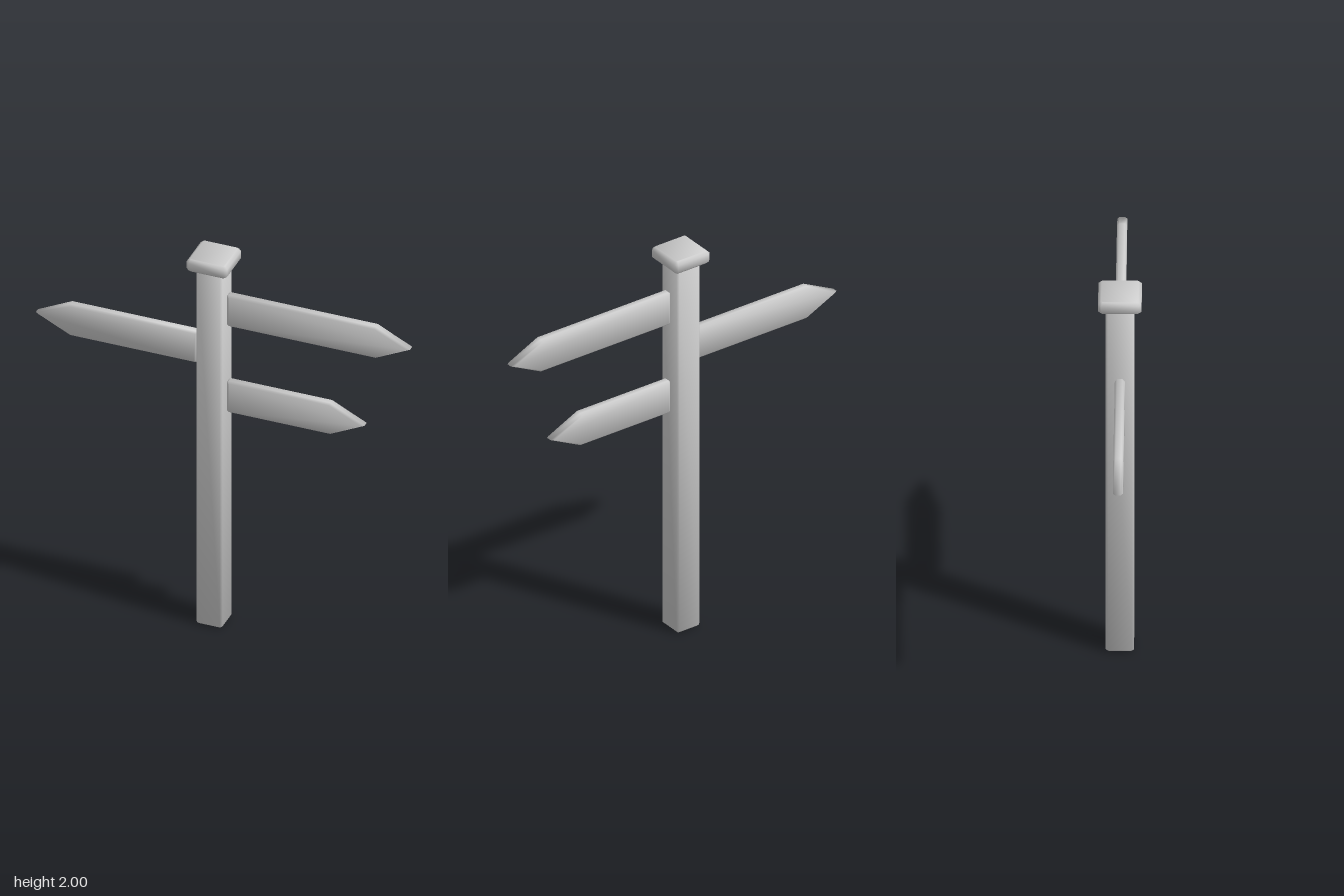
import * as THREE from 'three';

const material = new THREE.MeshStandardMaterial({ color: 0xcccccc });

// Smooth normals across every edge, each face weighted by its corner angle
function softNormals(geometry) {
  const g = geometry.index ? geometry.toNonIndexed() : geometry;
  const pos = g.attributes.position, sums = new Map(), keys = [];
  const at = (i) => new THREE.Vector3().fromBufferAttribute(pos, i);
  for (let i = 0; i < pos.count; i += 3) {
    const p = [at(i), at(i + 1), at(i + 2)];
    const n = new THREE.Triangle(...p).getNormal(new THREE.Vector3());
    p.forEach((v, k) => {
      const a = p[(k + 1) % 3].clone().sub(v), b = p[(k + 2) % 3].clone().sub(v);
      const key = v.toArray().map((c) => Math.round(c * 1e4)).join();
      if (!sums.has(key)) sums.set(key, new THREE.Vector3());
      sums.get(key).addScaledVector(n, a.angleTo(b));
      keys.push(key);
    });
  }
  const normals = keys.flatMap((key) => sums.get(key).clone().normalize().toArray());
  g.setAttribute('normal', new THREE.Float32BufferAttribute(normals, 3));
  return g;
}

// Outline extruded to a thickness, centred on z = 0, with one chamfer all round
function slab(points, thickness, bevel) {
  const shape = new THREE.Shape(points.map(([x, y]) => new THREE.Vector2(x, y)));
  const g = new THREE.ExtrudeGeometry(shape, {
    depth: thickness - 2 * bevel, bevelThickness: bevel, bevelSize: bevel,
    bevelOffset: -bevel, bevelSegments: 1,
  });
  return g.translate(0, 0, bevel - thickness / 2);
}

// Square block standing upright, all edges chamfered
function block(name, size, y0, y1, c) {
  const h = size / 2, k = h - c;
  const outline = [[k, -h], [h, -k], [h, k], [k, h], [-k, h], [-h, k], [-h, -k], [-k, -h]];
  const g = slab(outline, y1 - y0, c).rotateX(-Math.PI / 2);
  const mesh = new THREE.Mesh(softNormals(g), material);
  mesh.name = name;
  mesh.position.set(-0.05, (y0 + y1) / 2, 0);
  return mesh;
}

// Pointed board; length runs from its square end at x = 0 to the tip
function board(name, x, y, length, toRight) {
  const h = 0.085, c = 0.008, shoulder = length - 0.17;
  const g = slab([
    [c, -h], [shoulder, -h], [length, 0], [shoulder, h], [c, h], [0, h - c], [0, c - h],
  ], 0.046, 0.01);
  if (!toRight) g.rotateY(Math.PI);
  const mesh = new THREE.Mesh(softNormals(g), material);
  mesh.name = name;
  mesh.position.set(x, y, 0);
  return mesh;
}

export function createModel() {
  const group = new THREE.Group();
  group.name = 'signpost';
  group.add(
    block('post', 0.13, 0, 1.937, 0.01),
    block('postCap', 0.2, 1.934, 2, 0.014),
    board('upperLeftBoard', 0.02, 1.715, 0.905, true),
    board('rightBoard', -0.125, 1.478, 0.8, false),
    board('lowerLeftBoard', 0.02, 1.245, 0.68, true),
  );
  return group;
}
